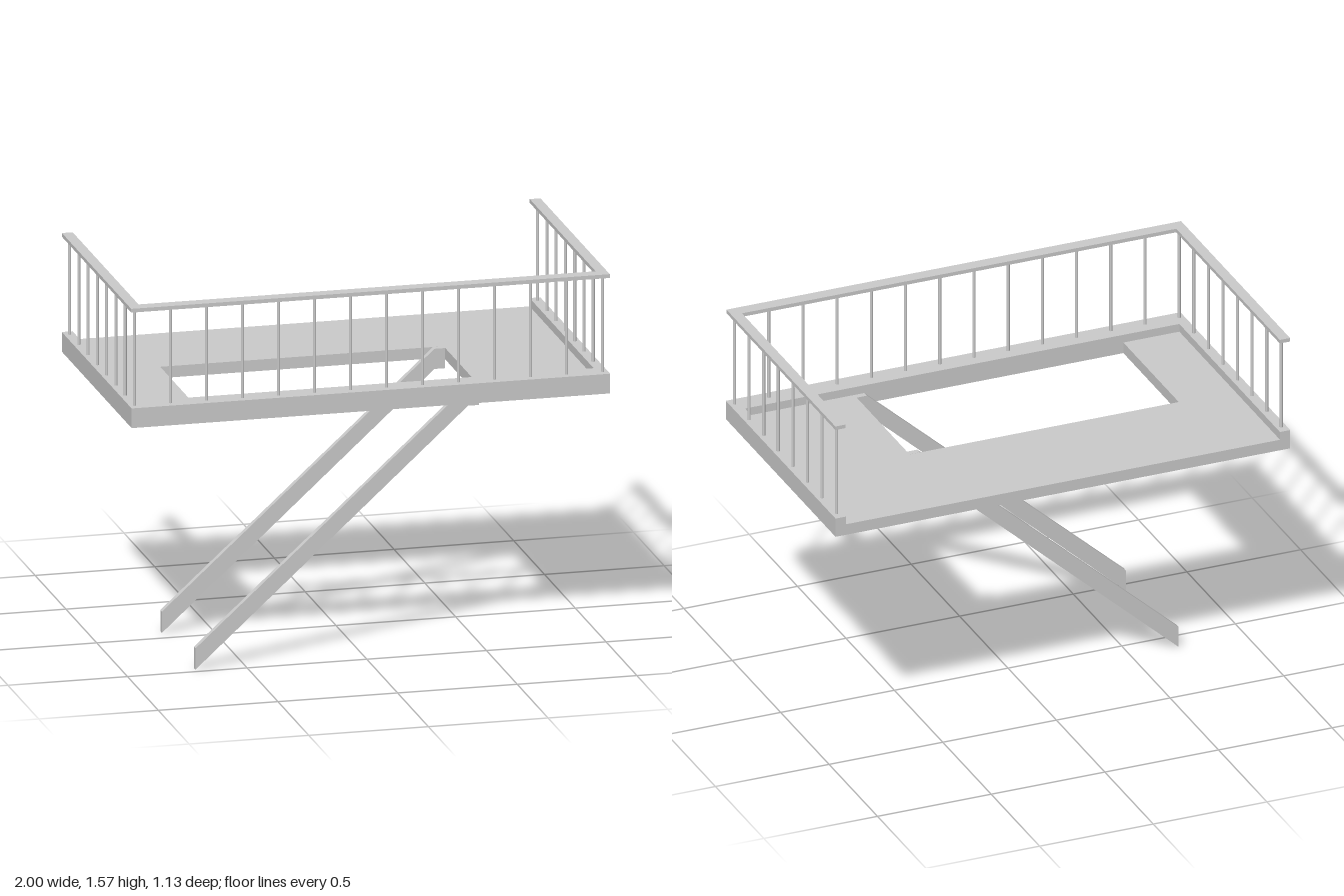
import * as THREE from 'three';

const material = new THREE.MeshStandardMaterial({ color: 0xcccccc, flatShading: true });
const roundMaterial = new THREE.MeshStandardMaterial({ color: 0xcccccc });

// Polygon given in plan (x, z), extruded upwards from y0 to y1
function planExtrude(name, outline, y0, y1) {
  const shape = new THREE.Shape(outline.map(([x, z]) => new THREE.Vector2(x, -z)));
  const geometry = new THREE.ExtrudeGeometry(shape, { depth: y1 - y0, bevelEnabled: false });
  geometry.rotateX(-Math.PI / 2).translate(0, y0, 0);
  const mesh = new THREE.Mesh(geometry, material);
  mesh.name = name;
  return mesh;
}

// U-shaped plan open at the back
const uShape = (halfX, back, front, innerX, innerFront) => [
  [-halfX, back], [-halfX, front], [halfX, front], [halfX, back],
  [innerX, back], [innerX, innerFront], [-innerX, innerFront], [-innerX, back],
];

export function createModel() {
  const model = new THREE.Group();
  model.name = 'loftPlatform';

  const bottom = 1.067, floorTop = 1.115, curbTop = 1.15, railBottom = 1.552, railTop = 1.568;
  const back = -0.567, innerX = 0.955, curbInner = 0.473;
  const holeLeft = -0.709, holeRight = 0.475, holeBack = -0.099;

  // Floor, notched by the stairwell opening that runs up to the front curb
  model.add(planExtrude('floor', [
    [-innerX, back], [innerX, back], [innerX, curbInner], [holeRight, curbInner],
    [holeRight, holeBack], [holeLeft, holeBack], [holeLeft, curbInner], [-innerX, curbInner],
  ], bottom, floorTop));

  // Raised curb and handrail on three sides
  model.add(planExtrude('curb', uShape(1, back, 0.567, innerX, curbInner), bottom, curbTop));
  model.add(planExtrude('handrail', uShape(1, -0.565, 0.56, innerX, 0.505), railBottom, railTop));

  // Slim balusters along the front and both sides
  const balusters = new THREE.Group();
  balusters.name = 'balusters';
  const postGeometry = new THREE.CylinderGeometry(0.0065, 0.0065, railBottom - curbTop, 12);
  const addPost = (x, z) => {
    const post = new THREE.Mesh(postGeometry, roundMaterial);
    post.name = 'baluster';
    post.position.set(x, (railBottom + curbTop) / 2, z);
    balusters.add(post);
  };
  const postX = 0.978, postZ = 0.528;
  for (let i = 0; i < 14; i++) addPost(-postX + (2 * postX * i) / 13, postZ);
  for (let i = 1; i < 8; i++) {
    for (const side of [-1, 1]) addPost(side * postX, postZ - (1.054 * i) / 7);
  }
  model.add(balusters);

  // Two sloping stair stringers with a short level top
  const profile = [
    [holeLeft, 0], [0.43, 1.03], [holeRight, 1.03],
    [holeRight, floorTop], [0.43, floorTop], [holeLeft, 0.09],
  ];
  const stringerGeometry = new THREE.ExtrudeGeometry(
    new THREE.Shape(profile.map(([x, y]) => new THREE.Vector2(x, y))),
    { depth: 0.026, bevelEnabled: false });
  for (const [name, z] of [['frontStringer', 0.447], ['backStringer', -0.098]]) {
    const stringer = new THREE.Mesh(stringerGeometry, material);
    stringer.name = name;
    stringer.position.z = z;
    model.add(stringer);
  }

  return model;
}
